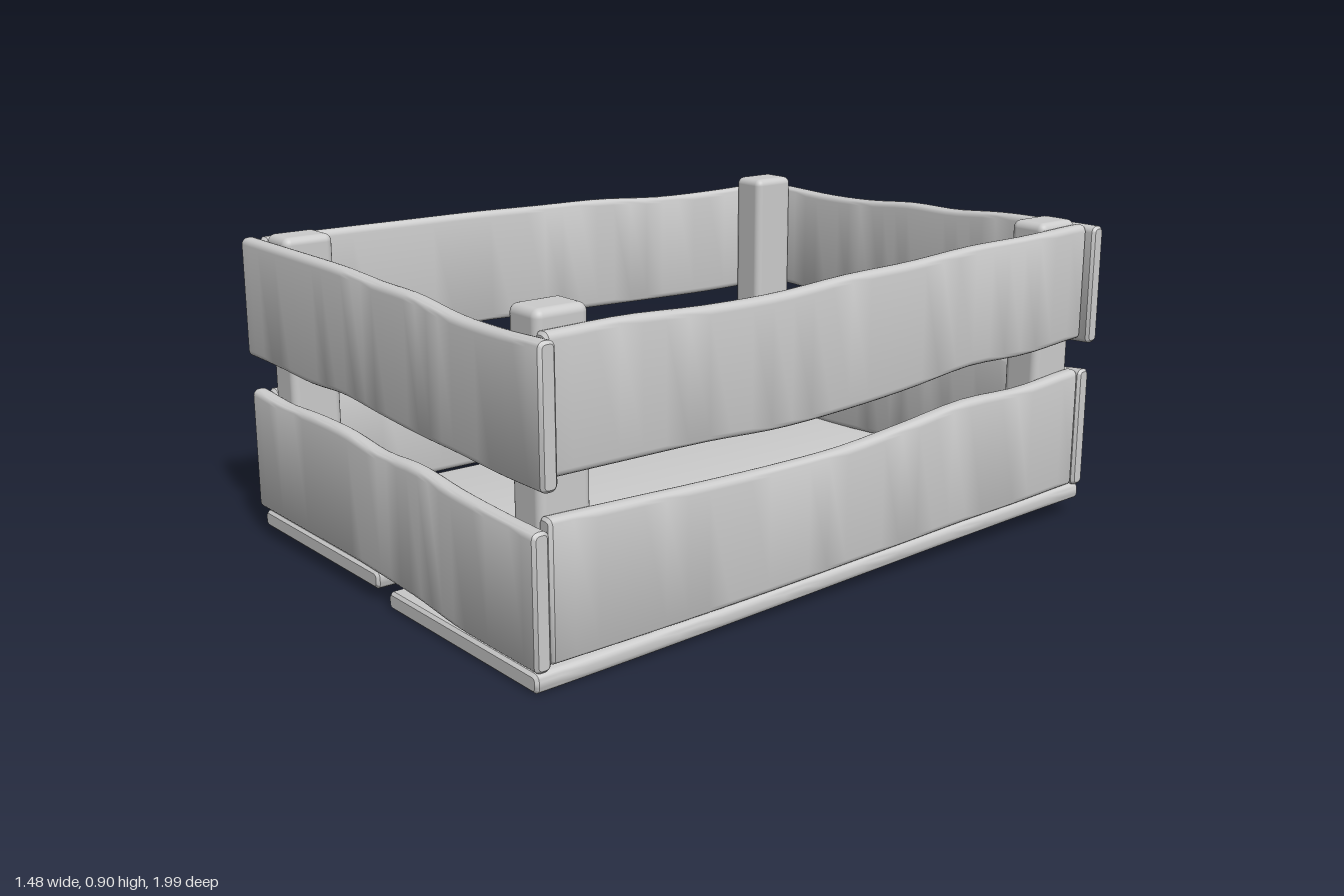
import * as THREE from 'three';
import { toCreasedNormals } from 'three/addons/utils/BufferGeometryUtils.js';
import { RoundedBoxGeometry } from 'three/addons/geometries/RoundedBoxGeometry.js';

const material = new THREE.MeshStandardMaterial({ color: 0xcccccc });

// Smooth height along a board, from evenly spaced samples
function heightCurve(samples) {
  const curve = new THREE.SplineCurve(samples.map((y, i) => new THREE.Vector2(i, y)));
  return (u) => curve.getPoint(u).y;
}

// Board running along x with wavy top and bottom edges and rounded corners;
// z0..z1 is its thickness
function boardGeometry(x0, x1, z0, z1, tops, bottoms, radius) {
  const top = heightCurve(tops), bottom = heightCurve(bottoms);
  const bevel = 0.008, steps = 28, cornerSteps = 4;
  const stations = [[0, bevel]];
  for (let i = 0; i <= steps; i++) {
    const u = i / steps;
    stations.push([THREE.MathUtils.clamp(u, bevel / (x1 - x0), 1 - bevel / (x1 - x0)), 0]);
  }
  stations.push([1, bevel]);

  const pos = [], index = [];
  const ring = 4 * (cornerSteps + 1);
  const addSection = ([u, inset]) => {
    const r = radius - inset;
    for (let c = 0; c < 4; c++) {
      const cy = c < 2 ? top(u) - radius : bottom(u) + radius;
      const cz = c === 0 || c === 3 ? z1 - radius : z0 + radius;
      for (let k = 0; k <= cornerSteps; k++) {
        const a = (c + k / cornerSteps) * Math.PI / 2;
        pos.push(x0 + (x1 - x0) * u, cy + r * Math.sin(a), cz + r * Math.cos(a));
      }
    }
  };
  stations.forEach(addSection);
  const last = (stations.length - 1) * ring;
  for (let s = 0; s < stations.length - 1; s++) {
    for (let k = 0; k < ring; k++) {
      const a = s * ring + k, b = s * ring + (k + 1) % ring;
      index.push(a, a + ring, b, b, a + ring, b + ring);
    }
  }
  // End caps
  for (let k = 1; k < ring - 1; k++) {
    index.push(0, k, k + 1, last, last + k + 1, last + k);
  }
  const g = new THREE.BufferGeometry();
  g.setAttribute('position', new THREE.Float32BufferAttribute(pos, 3));
  g.setIndex(index);
  return toCreasedNormals(g, 0.7);
}

export function createModel() {
  const crate = new THREE.Group();
  crate.name = 'crate';

  const addBoard = (name, along, range, thickness, tops, bottoms, radius = 0.018) => {
    const mesh = new THREE.Mesh(boardGeometry(...range, ...thickness, tops, bottoms, radius), material);
    mesh.name = name;
    if (along === 'z') mesh.rotation.y = Math.PI / 2; // samples then run front to back
    crate.add(mesh);
  };

  // Front and back boards, samples from -x to +x
  addBoard('upperFrontBoard', 'x', [-0.73, 0.735], [0.945, 0.992],
    [0.875, 0.875, 0.875, 0.874, 0.866, 0.863, 0.845, 0.843, 0.85],
    [0.533, 0.531, 0.525, 0.533, 0.521, 0.511, 0.507, 0.5, 0.5]);
  addBoard('lowerFrontBoard', 'x', [-0.72, 0.695], [0.945, 0.992],
    [0.437, 0.428, 0.435, 0.434, 0.418, 0.424, 0.408, 0.4, 0.397],
    [0.08, 0.08, 0.08, 0.08, 0.075, 0.068, 0.052, 0.05, 0.05]);
  addBoard('upperBackBoard', 'x', [-0.74, 0.72], [-1, -0.955],
    [0.855, 0.85, 0.845, 0.85, 0.865, 0.866, 0.88, 0.884, 0.885],
    [0.515, 0.513, 0.508, 0.498, 0.51, 0.52, 0.533, 0.53, 0.54]);
  addBoard('lowerBackBoard', 'x', [-0.71, 0.7], [-1, -0.955],
    [0.415, 0.41, 0.403, 0.402, 0.415, 0.425, 0.446, 0.437, 0.456],
    [0.042, 0.045, 0.052, 0.06, 0.07, 0.08, 0.09, 0.092, 0.097]);

  // Side boards, samples from front to back
  addBoard('upperLeftBoard', 'z', [-0.945, 0.955], [0.647, 0.695],
    [0.855, 0.858, 0.847, 0.846, 0.86, 0.865, 0.878, 0.88, 0.888],
    [0.515, 0.513, 0.51, 0.499, 0.505, 0.52, 0.543, 0.538, 0.552]);
  addBoard('lowerLeftBoard', 'z', [-0.945, 0.955], [0.647, 0.695],
    [0.42, 0.413, 0.405, 0.4, 0.402, 0.422, 0.445, 0.44, 0.456],
    [0.06, 0.06, 0.062, 0.066, 0.073, 0.08, 0.088, 0.092, 0.1]);
  addBoard('upperRightBoard', 'z', [-0.945, 0.955], [-0.715, -0.668],
    [0.877, 0.877, 0.876, 0.875, 0.87, 0.866, 0.85, 0.848, 0.853],
    [0.533, 0.53, 0.526, 0.532, 0.522, 0.515, 0.508, 0.503, 0.505]);
  addBoard('lowerRightBoard', 'z', [-0.945, 0.955], [-0.715, -0.668],
    [0.435, 0.43, 0.43, 0.436, 0.428, 0.412, 0.408, 0.4, 0.4],
    [0.08, 0.08, 0.078, 0.076, 0.07, 0.064, 0.055, 0.05, 0.05]);

  // Two slightly tilted floor slats
  addBoard('leftFloorSlat', 'z', [-0.992, 0.992], [0.02, 0.695], [0.05, 0.1], [0, 0.05]);
  addBoard('rightFloorSlat', 'z', [-0.992, 0.992], [-0.685, -0.035], [0.082, 0.058], [0.032, 0.01]);

  // Corner posts: x, z, top height
  const posts = [
    ['frontRightPost', -0.611, 0.87, 0.89], ['frontLeftPost', 0.597, 0.87, 0.9],
    ['backRightPost', -0.611, -0.88, 0.89], ['backLeftPost', 0.597, -0.88, 0.9],
  ];
  for (const [name, x, z, top] of posts) {
    const base = 0.06;
    const post = new THREE.Mesh(new RoundedBoxGeometry(0.118, top - base, 0.15, 4, 0.022), material);
    post.name = name;
    post.position.set(x, (top + base) / 2, z);
    crate.add(post);
  }
  return crate;
}
